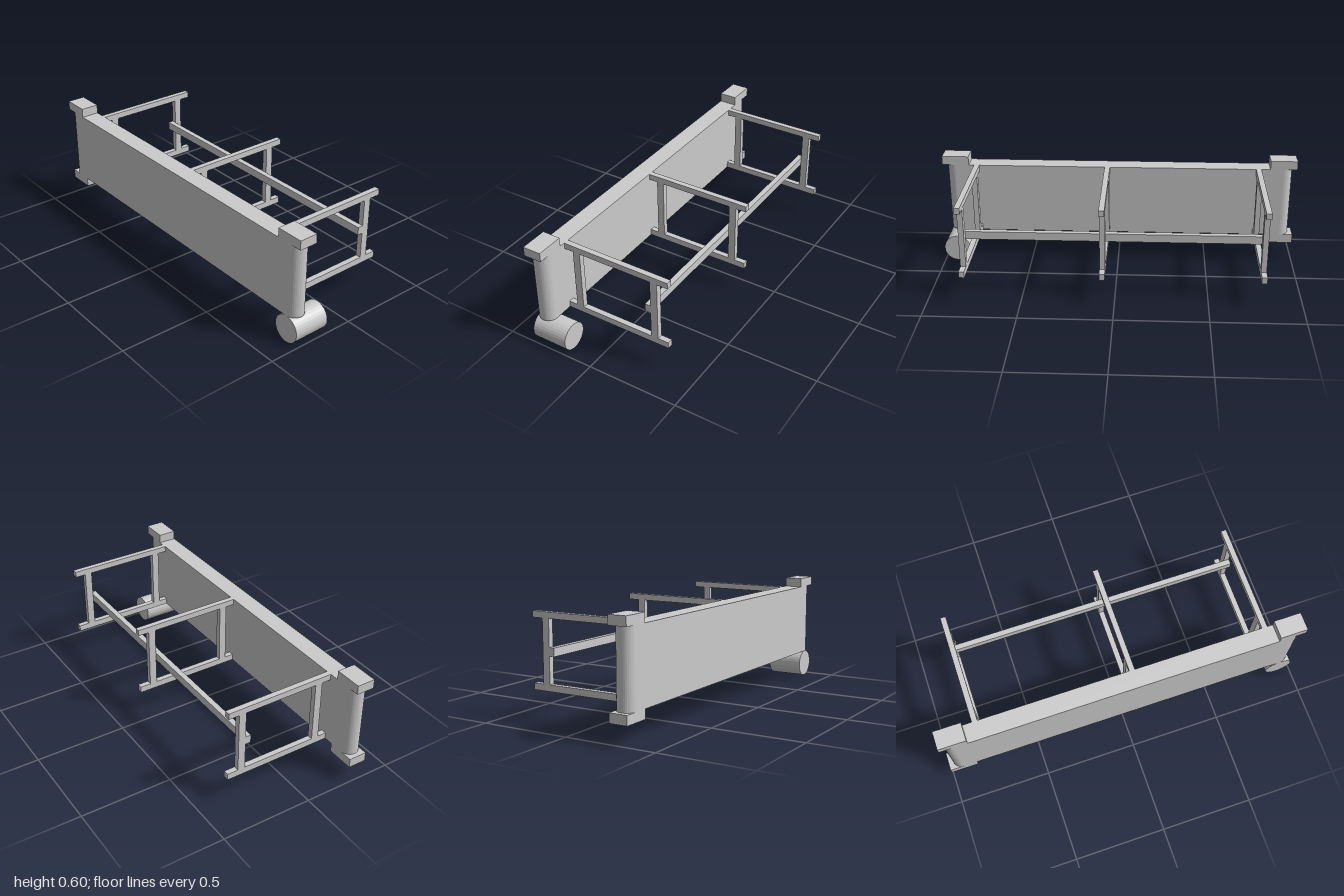
import * as THREE from 'three';

export function createModel() {
  const model = new THREE.Group();
  const material = new THREE.MeshStandardMaterial({ color: 0xcccccc, flatShading: true });

  const add = (name, geometry, x, y, z, parent = model) => {
    const mesh = new THREE.Mesh(geometry, material);
    mesh.name = name;
    mesh.position.set(x, y, z);
    parent.add(mesh);
    return mesh;
  };

  // Box given by its lower and upper limits on each axis
  const box = (name, [x0, x1], [y0, y1], [z0, z1], parent) =>
    add(name, new THREE.BoxGeometry(x1 - x0, y1 - y0, z1 - z0),
      (x0 + x1) / 2, (y0 + y1) / 2, (z0 + z1) / 2, parent);

  // Front panel with a round post at each end
  const front = [0.25, 0.35];
  box('frontPanel', [-0.925, 0.925], [0.15, 0.55], front);
  for (const side of [-1, 1]) {
    add(side > 0 ? 'leftPost' : 'rightPost',
      new THREE.CylinderGeometry(0.05, 0.05, 0.4, 32), side * 0.925, 0.35, 0.3);
  }

  // Square caps on the posts; the left post rests on a roller instead of a foot
  box('leftTopCap', [0.85, 1], [0.55, 0.6], front);
  box('rightTopCap', [-1, -0.85], [0.55, 0.6], front);
  box('rightBottomCap', [-1, -0.85], [0.1, 0.15], front);
  const roller = add('roller', new THREE.CylinderGeometry(0.075, 0.075, 0.2, 32), 0.925, 0.075, 0.25);
  roller.rotation.x = Math.PI / 2;

  // Three rectangular support frames behind the panel
  for (const x of [-0.785, 0.065, 0.805]) {
    const frame = new THREE.Group();
    frame.name = 'supportFrame';
    model.add(frame);
    const width = [x - 0.015, x + 0.015];
    box('topBar', width, [0.517, 0.55], [-0.35, 0.25], frame);
    box('bottomBar', width, [0.15, 0.185], [-0.35, 0.25], frame);
    box('frontUpright', width, [0.185, 0.517], [0.16, 0.2], frame);
    box('backUpright', width, [0.185, 0.517], [-0.29, -0.25], frame);
  }

  // Long rail joining the back uprights
  box('crossRail', [-0.8, 0.82], [0.329, 0.373], [-0.25, -0.22]);

  return model;
}
